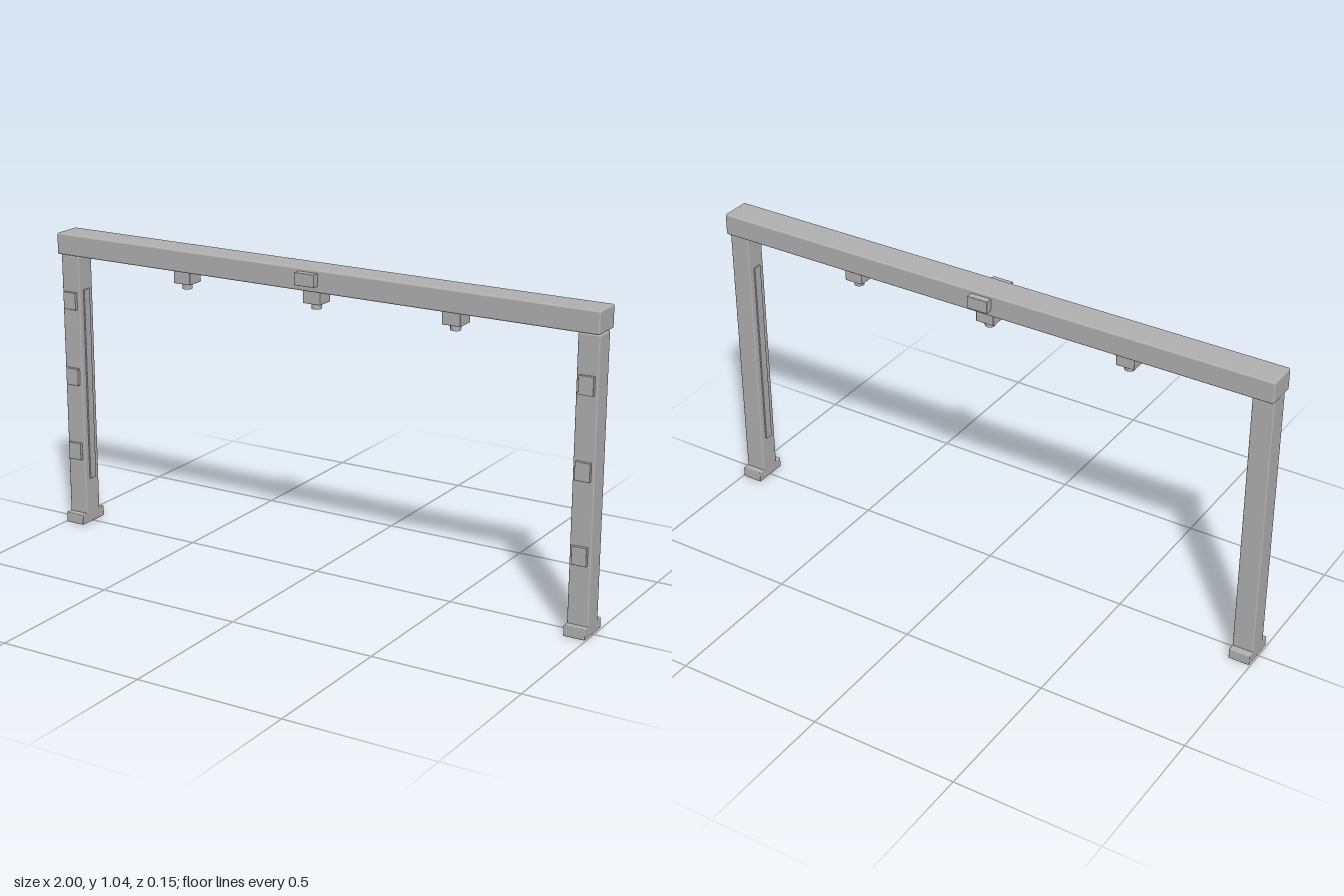
import * as THREE from 'three';
import { RoundedBoxGeometry } from 'three/addons/geometries/RoundedBoxGeometry.js';

export function createModel() {
  const model = new THREE.Group();
  model.name = 'gantryFrame';
  const grey = new THREE.MeshStandardMaterial({ color: 0xb0b0b0 });
  grey.name = 'grey metal';

  // Softly bevelled block given by its size and centre
  function block(parent, name, [w, h, d], [x, y, z], bevel = 0.003) {
    const mesh = new THREE.Mesh(new RoundedBoxGeometry(w, h, d, 2, bevel), grey);
    mesh.name = name;
    mesh.position.set(x, y, z);
    parent.add(mesh);
    return mesh;
  }

  // Crossbeam with a thin strip underneath
  block(model, 'crossbeam', [2, 0.074, 0.104], [0, 1, 0], 0.006);
  block(model, 'beamStrip', [1.7, 0.008, 0.03], [0, 0.963, 0], 0.001);

  // Small housings on the front and back of the beam
  for (const side of [1, -1]) {
    block(model, side > 0 ? 'frontHousing' : 'backHousing',
      [0.073, 0.042, 0.025], [0, 1.006, side * 0.0645], 0.002);
  }

  // Legs, mirrored left and right
  for (const side of [1, -1]) {
    const leg = new THREE.Group();
    leg.name = side > 0 ? 'leftLeg' : 'rightLeg';
    const x = side * 0.96;
    block(leg, 'post', [0.072, 0.948, 0.072], [x, 0.486, 0], 0.005);
    block(leg, 'cap', [0.06, 0.012, 0.06], [x, 0.961, 0], 0.001);
    block(leg, 'foot', [0.072, 0.036, 0.12], [x, 0.018, 0], 0.003);
    block(leg, 'innerStrip', [0.008, 0.68, 0.03], [side * 0.923, 0.5, 0], 0.001);
    for (const y of [0.264, 0.534, 0.803]) {
      block(leg, 'frontPlate', [0.05, 0.06, 0.014], [x, y, 0.04], 0.001);
    }
    model.add(leg);
  }

  // Hanging sensors with a round nozzle
  for (const x of [-0.5, 0, 0.5]) {
    const sensor = new THREE.Group();
    sensor.name = 'sensor';
    block(sensor, 'sensorBody', [0.064, 0.046, 0.064], [x, 0.941, 0], 0.002);
    const nozzle = new THREE.Mesh(new THREE.CylinderGeometry(0.017, 0.017, 0.024, 16), grey);
    nozzle.name = 'nozzle';
    nozzle.position.set(x, 0.91, 0);
    sensor.add(nozzle);
    model.add(sensor);
  }

  return model;
}
